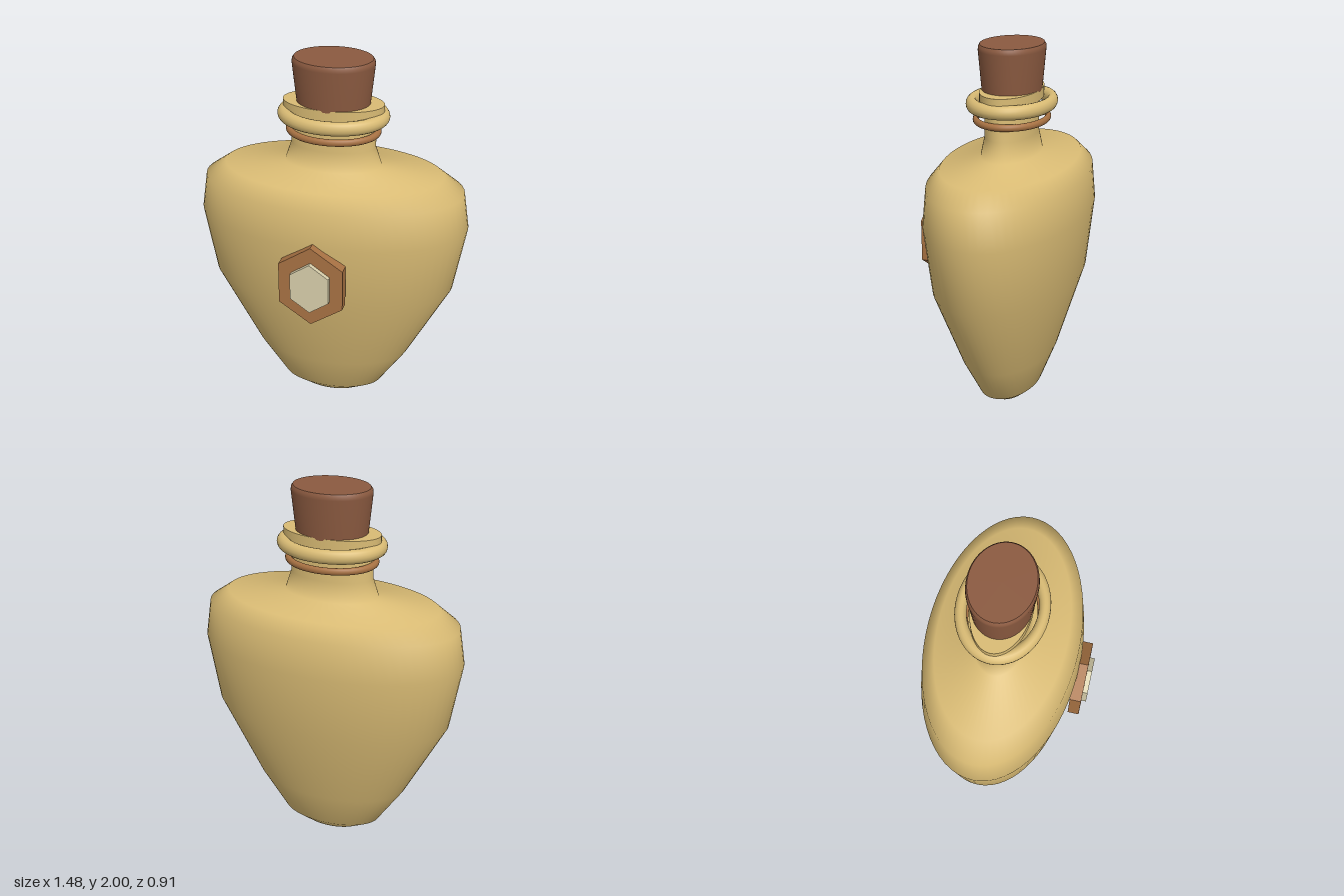
import * as THREE from 'three';

const mat = (name, color) => {
  const m = new THREE.MeshStandardMaterial({ color });
  m.name = name;
  return m;
};

export function createModel() {
  const glaze = mat('golden glaze', 0xd9bb74);
  const corkBrown = mat('cork brown', 0x8b5a40);
  const copper = mat('copper', 0xa87243);
  const ivory = mat('ivory', 0xd8cfab);

  const model = new THREE.Group();
  model.name = 'bottle';
  const vessel = new THREE.Group();
  vessel.name = 'vessel';
  vessel.position.z = -0.035;
  model.add(vessel);

  const add = (parent, name, geometry, material) => {
    const mesh = new THREE.Mesh(geometry, material);
    mesh.name = name;
    parent.add(mesh);
    return mesh;
  };
  // Turned part squashed in depth into an oval
  const turned = (name, profile, depth, material) => {
    const pts = profile.map(([r, y]) => new THREE.Vector2(r, y));
    add(vessel, name, new THREE.LatheGeometry(pts, 64), material).scale.z = depth;
  };
  // Oval ring around the neck
  const ring = (name, radius, tube, y, material) => {
    const g = new THREE.TorusGeometry(radius, tube, 16, 64).rotateX(Math.PI / 2);
    const mesh = add(vessel, name, g, material);
    mesh.position.y = y;
    mesh.scale.z = 0.785;
  };

  // Flattened body tapering to a small foot, with shoulders and neck
  turned('body', [
    [0, 0], [0.175, 0], [0.285, 0.06], [0.435, 0.28], [0.675, 0.73], [0.742, 1.1],
    [0.712, 1.3], [0.6, 1.38], [0.265, 1.415], [0.23, 1.52], [0.23, 1.735],
  ], 0.567, glaze);

  // Mouth: flat lip, rolled rim and copper band
  const lip = add(vessel, 'lip', new THREE.CylinderGeometry(0.272, 0.272, 0.055, 64), glaze);
  lip.position.y = 1.7325;
  lip.scale.z = 0.567;
  ring('rim', 0.262, 0.038, 1.688, glaze);
  ring('neckBand', 0.237, 0.019, 1.602, copper);

  // Stopper with a softened top edge
  turned('corkSide', [[0.192, 1.72], [0.197, 1.765], [0.219, 1.97], [0.217, 1.988], [0.208, 2]], 0.79, corkBrown);
  const corkTop = add(vessel, 'corkTop', new THREE.CircleGeometry(0.208, 64).rotateX(-Math.PI / 2), corkBrown);
  corkTop.position.y = 2;
  corkTop.scale.z = 0.79;

  // Hexagonal badge on the front
  const hexPlate = (name, halfW, halfH, z, depth, material) => {
    const pts = Array.from({ length: 6 }, (_, i) => {
      const a = Math.PI / 2 + (i * Math.PI) / 3;
      return new THREE.Vector2((Math.cos(a) / Math.cos(Math.PI / 6)) * halfW, Math.sin(a) * halfH);
    });
    const g = new THREE.ExtrudeGeometry(new THREE.Shape(pts), { depth, bevelEnabled: false });
    add(model, name, g, material).position.set(0, 0.9, z);
  };
  hexPlate('badgeFrame', 0.173, 0.229, 0.37, 0.062, copper);
  hexPlate('badgeGem', 0.104, 0.143, 0.42, 0.038, ivory);

  return model;
}
